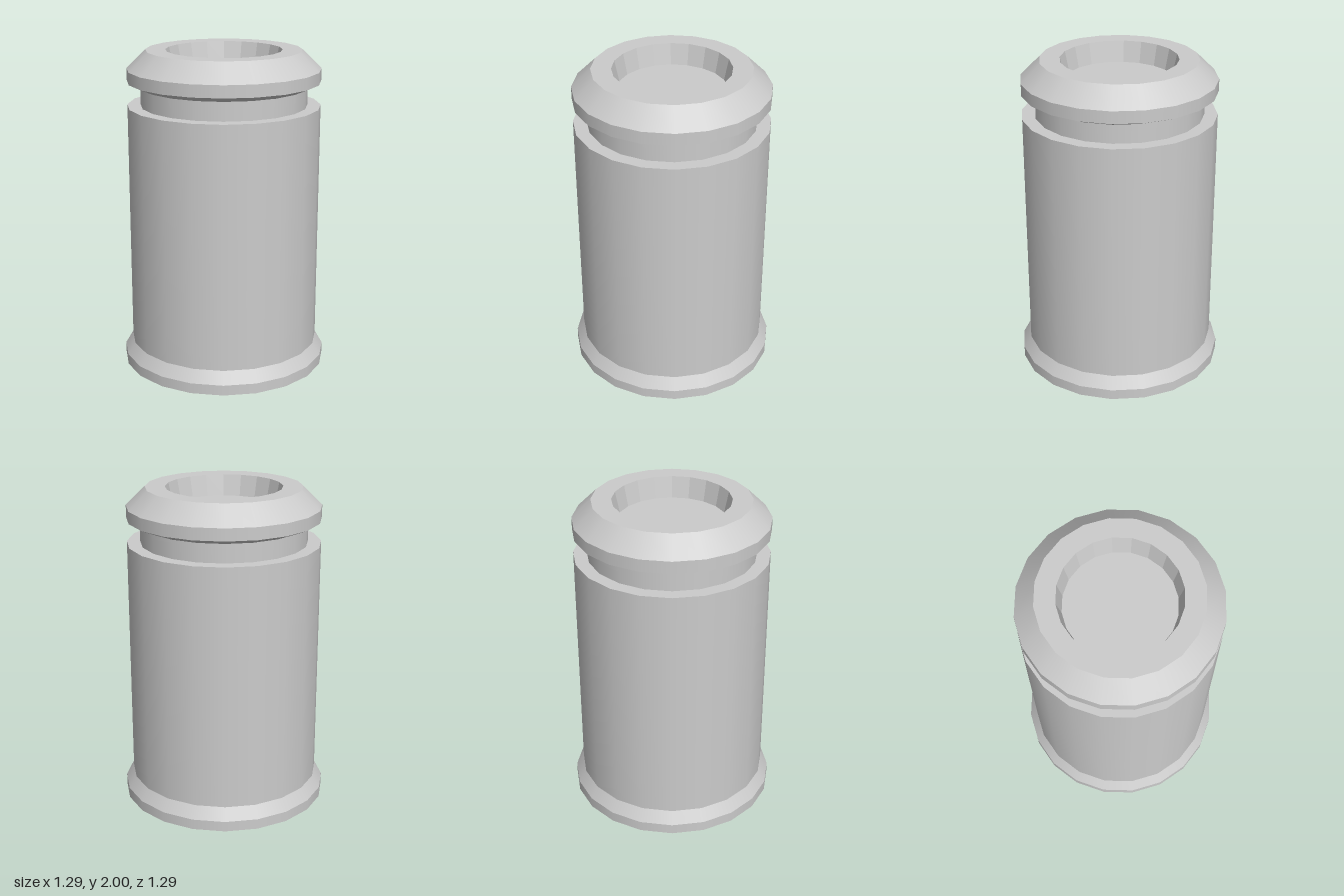
import * as THREE from 'three';

const SIDES = 20;
const smooth = new THREE.MeshStandardMaterial({ color: 0xcccccc });
const faceted = new THREE.MeshStandardMaterial({ color: 0xcccccc, flatShading: true });

// Revolves each profile step as its own band, so rings stay sharp
// while the shading runs smoothly around the axis.
function turned(name, profile, material = smooth) {
  const part = new THREE.Group();
  part.name = name;
  for (let i = 0; i < profile.length - 1; i++) {
    const points = [profile[i], profile[i + 1]].map(([r, y]) => new THREE.Vector2(r, y));
    const band = new THREE.Mesh(new THREE.LatheGeometry(points, SIDES), material);
    band.name = `${name}Band${i + 1}`;
    part.add(band);
  }
  return part;
}

export function createModel() {
  const model = new THREE.Group();
  model.name = 'canister';
  model.add(
    // closed foot with a chamfered flange
    turned('baseFlange', [[0, 0], [0.645, 0], [0.645, 0.065], [0.597, 0.14]]),
    // main barrel and its upper shoulder
    turned('body', [[0.597, 0.14], [0.597, 1.66], [0.515, 1.66]]),
    // narrow groove below the cap
    turned('neck', [[0.515, 1.66], [0.515, 1.775]]),
    // cap with bevels below and above, and a flat rim
    turned('cap', [[0.515, 1.775], [0.597, 1.81], [0.597, 1.885], [0.48, 2], [0.358, 2]]),
    // shallow tapered recess in the top
    turned('topRecess', [[0.358, 2], [0.33, 1.87], [0, 1.87]], faceted)
  );
  return model;
}
